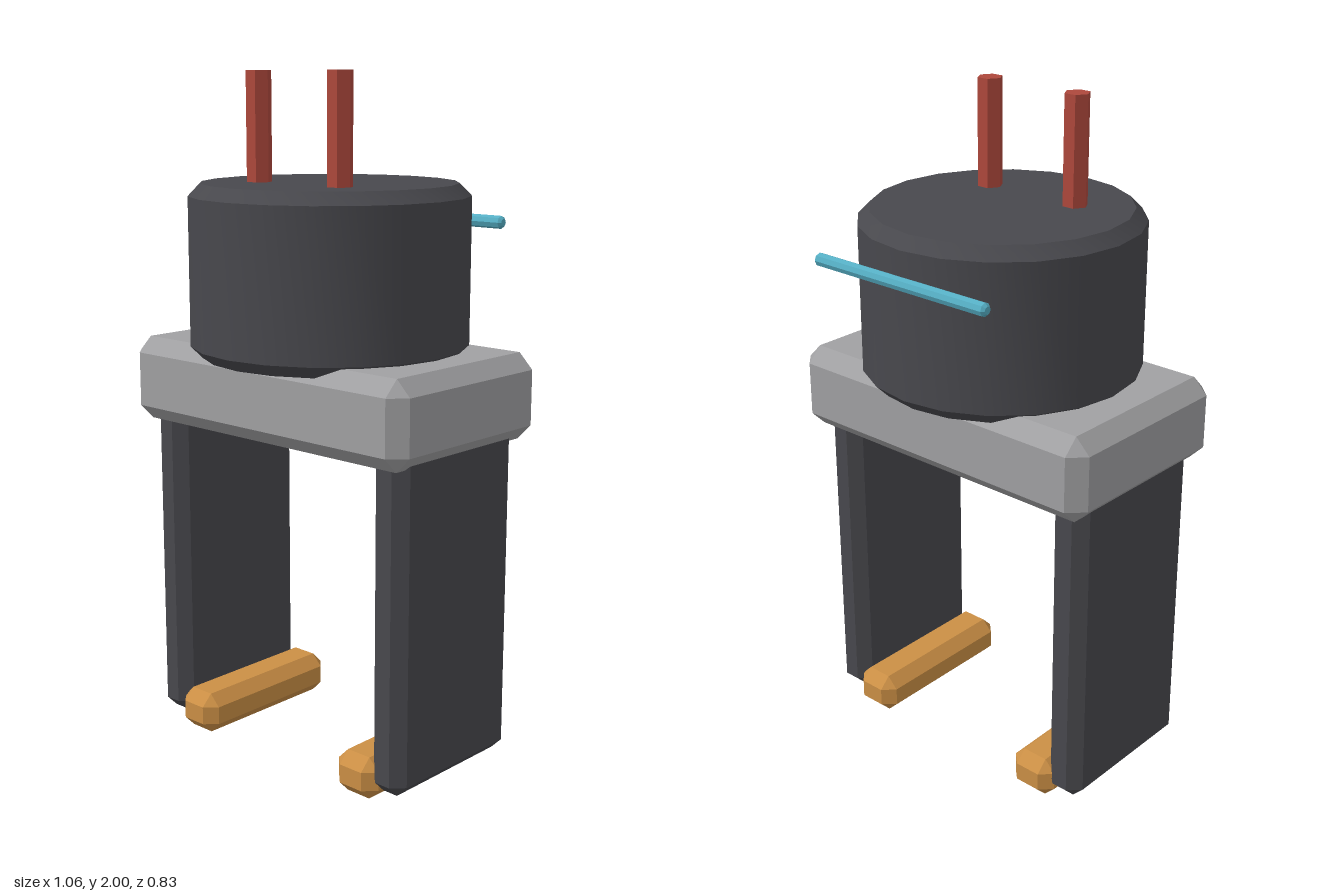
import * as THREE from 'three';
import { toCreasedNormals } from 'three/addons/utils/BufferGeometryUtils.js';
import { ConvexGeometry } from 'three/addons/geometries/ConvexGeometry.js';

const mat = (name, color) => {
  const m = new THREE.MeshStandardMaterial({ color });
  m.name = name;
  return m;
};

// Box with every edge and corner cut by a single flat bevel
function bevelBox(w, h, d, c) {
  const pts = [];
  for (const sx of [-1, 1]) for (const sy of [-1, 1]) for (const sz of [-1, 1]) {
    const x = w / 2, y = h / 2, z = d / 2;
    pts.push(
      new THREE.Vector3(sx * x, sy * (y - c), sz * (z - c)),
      new THREE.Vector3(sx * (x - c), sy * y, sz * (z - c)),
      new THREE.Vector3(sx * (x - c), sy * (y - c), sz * z));
  }
  return new ConvexGeometry(pts);
}

// Closed cylinder with bevelled rims, standing on y = 0
function bevelCylinder(r, h, c, sides, crease) {
  const profile = [[0, 0], [r - c, 0], [r, c], [r, h - c], [r - c, h], [0, h]];
  const g = new THREE.LatheGeometry(profile.map(p => new THREE.Vector2(...p)), sides);
  return toCreasedNormals(g, crease);
}

export function createModel() {
  const dark = mat('charcoal', 0x48484d);
  const grey = mat('light grey', 0xa0a0a2);
  const amber = mat('amber', 0xcb8f45);
  const red = mat('brick red', 0xae483c);
  const teal = mat('teal', 0x55aec4);

  const model = new THREE.Group();
  model.name = 'gripper';
  const add = (name, geometry, material, x, y, z) => {
    const m = new THREE.Mesh(geometry, material);
    m.name = name;
    m.position.set(x, y, z);
    model.add(m);
    return m;
  };

  // Round motor housing on a bevelled palm block
  add('housing', bevelCylinder(0.404, 0.495, 0.035, 20, 0.5), dark, 0, 1.195, 0.01);
  add('palm', bevelBox(1.06, 0.25, 0.62, 0.045), grey, 0, 1.1, 0.01);

  // Mirrored fingers, grip pads and cable pins
  const finger = bevelBox(0.12, 1, 0.5, 0.035);
  const pad = bevelBox(0.15, 0.125, 0.525, 0.035);
  const pin = toCreasedNormals(
    new THREE.CylinderGeometry(0.037, 0.037, 0.33, 6).rotateY(Math.PI / 6), 0.5);
  for (const [side, s] of [['left', 1], ['right', -1]]) {
    add(side + 'Finger', finger, dark, s * 0.436, 0.537, 0.015);
    add(side + 'GripPad', pad, amber, s * 0.327, 0.0625, 0.0125);
    add(side + 'Pin', pin, red, s * 0.156, 1.835, 0.135);
  }

  // Thin bar across the back of the housing
  const bar = bevelCylinder(0.019, 0.62, 0.008, 8, 0.5);
  bar.translate(0, -0.31, 0).rotateZ(Math.PI / 2);
  add('rearBar', bar, teal, 0, 1.567, -0.4);

  return model;
}
